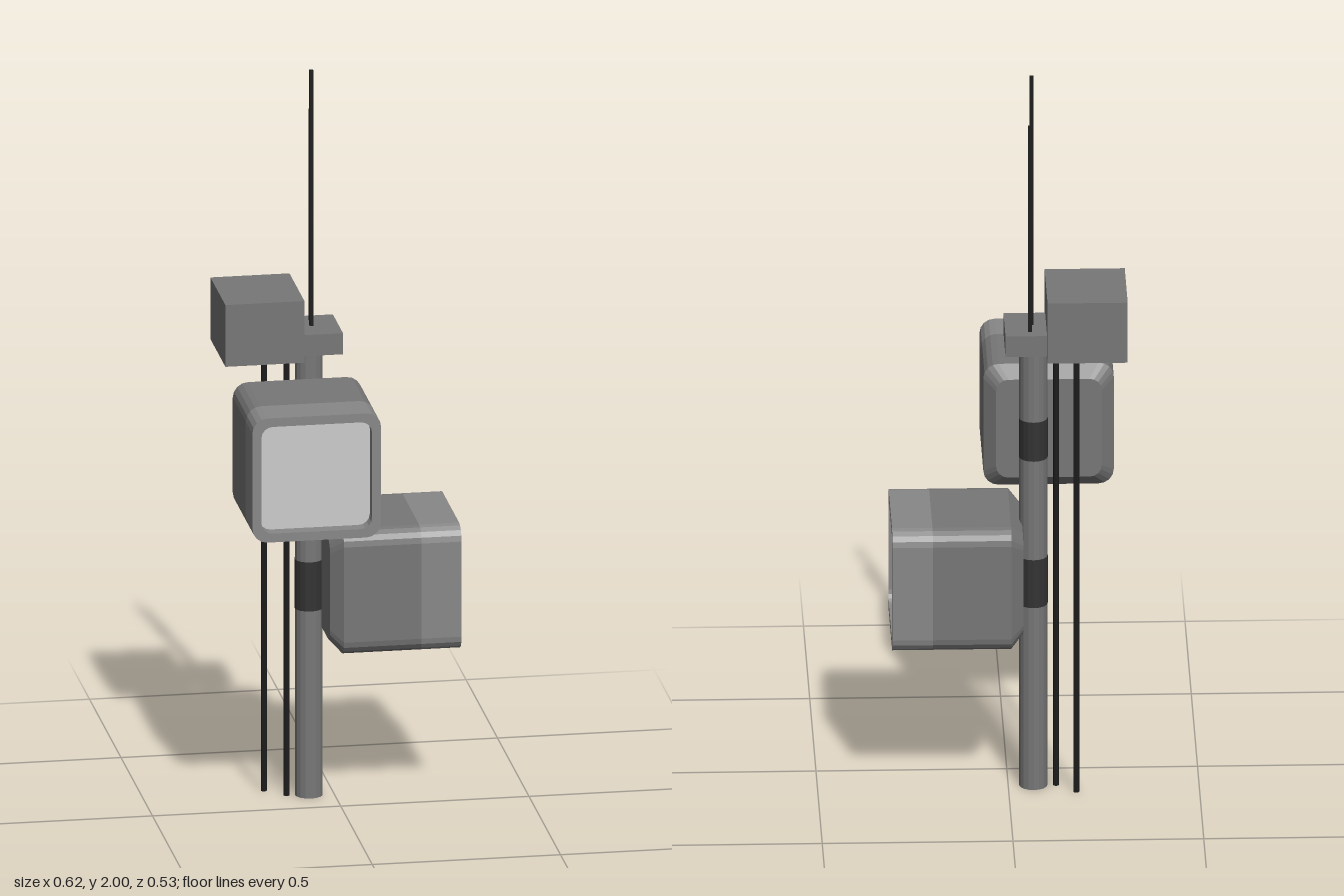
import * as THREE from 'three';

const mat = (color) => new THREE.MeshStandardMaterial({ color, flatShading: true });
const casing = mat(0x777777);
const hoodGrey = mat(0x888888);
const dark = mat(0x333333);
const black = mat(0x1c1c1c);
const pale = mat(0xcccccc);

function add(parent, name, geometry, material, x = 0, y = 0, z = 0) {
  const mesh = new THREE.Mesh(geometry, material);
  mesh.name = name;
  mesh.position.set(x, y, z);
  parent.add(mesh);
  return mesh;
}

// Square outline with rounded corners, centred on the origin
function roundedSquare(half, r, Type = THREE.Shape) {
  const s = new Type();
  const k = half - r;
  s.moveTo(-k, -half);
  s.lineTo(k, -half);
  s.absarc(k, -k, r, -Math.PI / 2, 0, false);
  s.lineTo(half, k);
  s.absarc(k, k, r, 0, Math.PI / 2, false);
  s.lineTo(-k, half);
  s.absarc(-k, k, r, Math.PI / 2, Math.PI, false);
  s.lineTo(-half, -k);
  s.absarc(-k, -k, r, Math.PI, Math.PI * 1.5, false);
  return s;
}

const extrude = (shape, depth) =>
  new THREE.ExtrudeGeometry(shape, { depth, bevelEnabled: false, curveSegments: 2 });

// Signal head facing +z, with its back plane at z = 0
function signalHead(name, insetPanel) {
  const g = new THREE.Group();
  g.name = name;
  const half = 0.171, outline = roundedSquare(half, 0.04);

  // Tapered back: the rear outline is pulled inwards
  const back = extrude(outline, 0.032);
  const p = back.attributes.position;
  for (let i = 0; i < p.count; i++) {
    if (p.getZ(i) < 0.001) p.setXY(i, p.getX(i) * 0.81, p.getY(i) * 0.81);
  }
  back.computeVertexNormals();
  add(g, 'signalBack', back, casing);
  add(g, 'signalBody', extrude(outline, 0.206), casing, 0, 0, 0.032);

  // Front hood framing the recessed lens
  const ring = roundedSquare(half, 0.04);
  ring.holes.push(roundedSquare(0.147, 0.03, THREE.Path));
  add(g, 'signalHood', extrude(ring, 0.106), hoodGrey, 0, 0, 0.238);
  add(g, 'signalLens', extrude(roundedSquare(0.147, 0.03), 0.07), pale, 0, 0, 0.238);
  if (insetPanel) {
    add(g, 'signalInnerPanel', extrude(roundedSquare(0.114, 0.03), 0.008), pale, 0, 0, 0.308);
  }
  return g;
}

export function createModel() {
  const model = new THREE.Group();
  model.name = 'signalPost';
  const px = -0.066, pz = -0.113;

  // Post and mounting bands
  add(model, 'post', new THREE.CylinderGeometry(0.037, 0.037, 1.24, 16), casing, px, 0.62, pz);
  for (const [y, h] of [[0.583, 0.135], [0.985, 0.11]]) {
    add(model, 'mountingBand', new THREE.CylinderGeometry(0.038, 0.038, h, 16), dark, px, y, pz);
  }

  // Signal heads: one facing forward, one facing sideways
  const front = signalHead('frontSignal', false);
  front.position.set(-0.108, 0.995, -0.079);
  const side = signalHead('sideSignal', true);
  side.position.set(-0.036, 0.606, -0.094);
  side.rotation.y = Math.PI / 2;
  model.add(front, side);

  // Equipment box and post cap
  add(model, 'equipmentBox', new THREE.BoxGeometry(0.21, 0.17, 0.238), casing, -0.205, 1.319, -0.097);
  add(model, 'postCap', new THREE.BoxGeometry(0.112, 0.058, 0.162), casing, -0.047, 1.268, -0.098);

  // Antennas on the cap
  for (const [x, z, top] of [[-0.062, -0.097, 2], [-0.056, -0.144, 1.877]]) {
    const h = top - 1.295;
    add(model, 'antenna', new THREE.BoxGeometry(0.01, h, 0.01), black, x, top - h / 2, z);
  }

  // Cables from the box down to the ground
  for (const [x, z] of [[-0.125, -0.115], [-0.177, -0.163]]) {
    add(model, 'cable', new THREE.CylinderGeometry(0.008, 0.008, 1.24, 8), black, x, 0.62, z);
  }
  return model;
}
